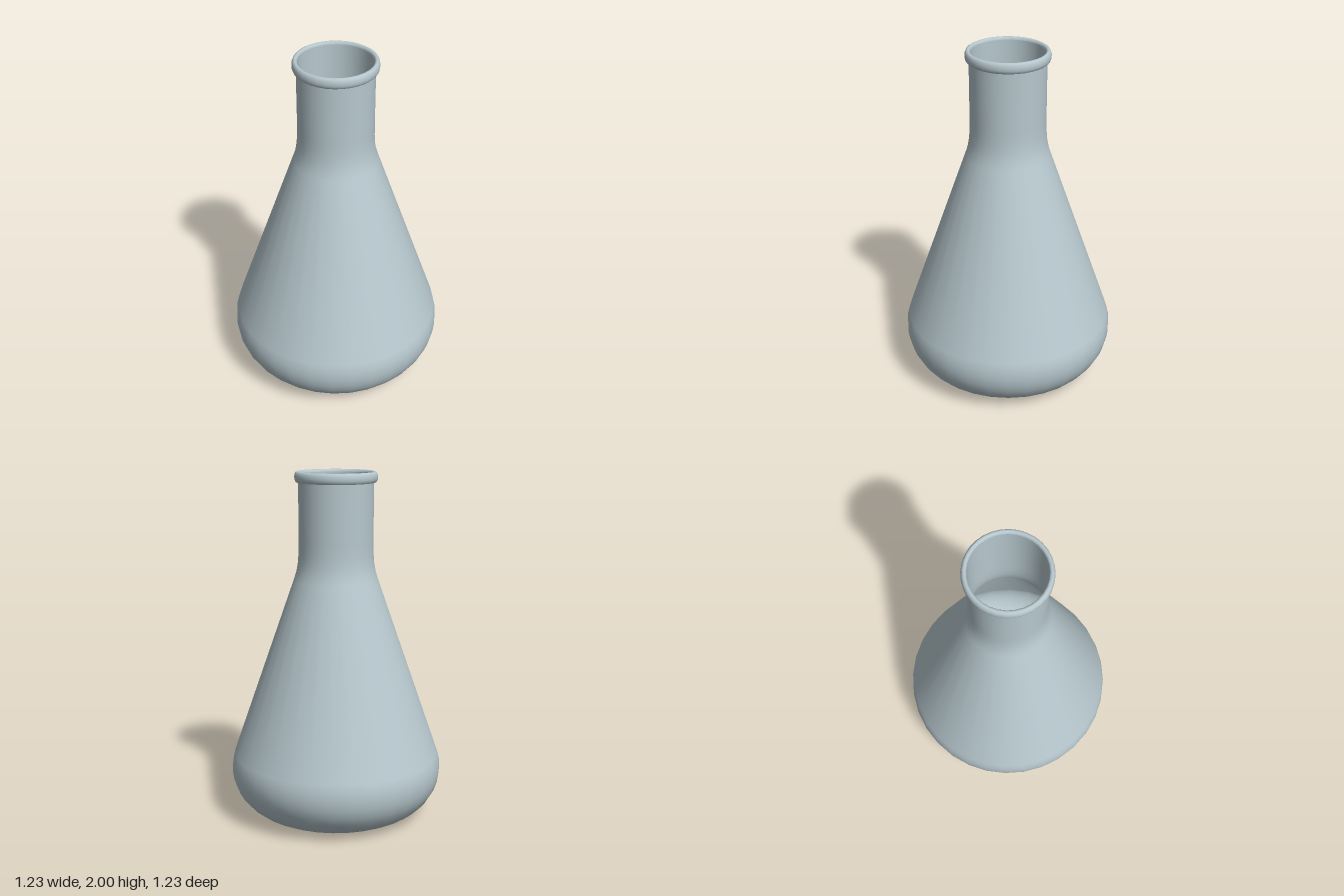
import * as THREE from 'three';

const SEGMENTS = 32;

// Half profile of the flask wall from base to mouth, moved inward by the wall thickness
function wallProfile(thickness, top) {
  const points = [new THREE.Vector2(0, thickness), new THREE.Vector2(0.33, thickness)];
  // rounded heel, ending where it meets the cone
  const radius = 0.275 - thickness;
  const steps = 10;
  for (let i = 0; i <= steps; i++) {
    const a = THREE.MathUtils.degToRad(-90 + (109.3 * i) / steps);
    points.push(new THREE.Vector2(0.34 + radius * Math.cos(a), 0.275 + radius * Math.sin(a)));
  }
  // cone, soft shoulder and straight neck
  for (const [x, y] of [[0.241, 1.39], [0.227, 1.435], [0.218, 1.485], [0.214, 1.54], [0.213, 1.6], [0.213, top]]) {
    points.push(new THREE.Vector2(x - thickness, y));
  }
  return points;
}

export function createModel() {
  const glass = new THREE.MeshStandardMaterial({ color: 0xb7c8ce, side: THREE.DoubleSide });
  glass.name = 'paleGlass';
  const model = new THREE.Group();
  model.name = 'conicalFlask';

  const addLathe = (name, points) => {
    const mesh = new THREE.Mesh(new THREE.LatheGeometry(points, SEGMENTS), glass);
    mesh.name = name;
    model.add(mesh);
  };

  // Outer wall and base
  addLathe('outerWall', wallProfile(0, 1.95));

  // Inner wall and floor, facing inward
  addLathe('innerWall', wallProfile(0.008, 1.985).reverse());

  // Flat underside of the lip
  addLathe('lipUnderside', [new THREE.Vector2(0.212, 1.94), new THREE.Vector2(0.224, 1.94)]);

  // Rounded bead around the mouth
  const bead = [[0.224, 1.94], [0.23, 1.946], [0.234, 1.957], [0.235, 1.97], [0.233, 1.984],
    [0.228, 1.995], [0.22, 2], [0.212, 1.998], [0.207, 1.993], [0.205, 1.985]];
  addLathe('lip', bead.map(([x, y]) => new THREE.Vector2(x, y)));

  return model;
}
